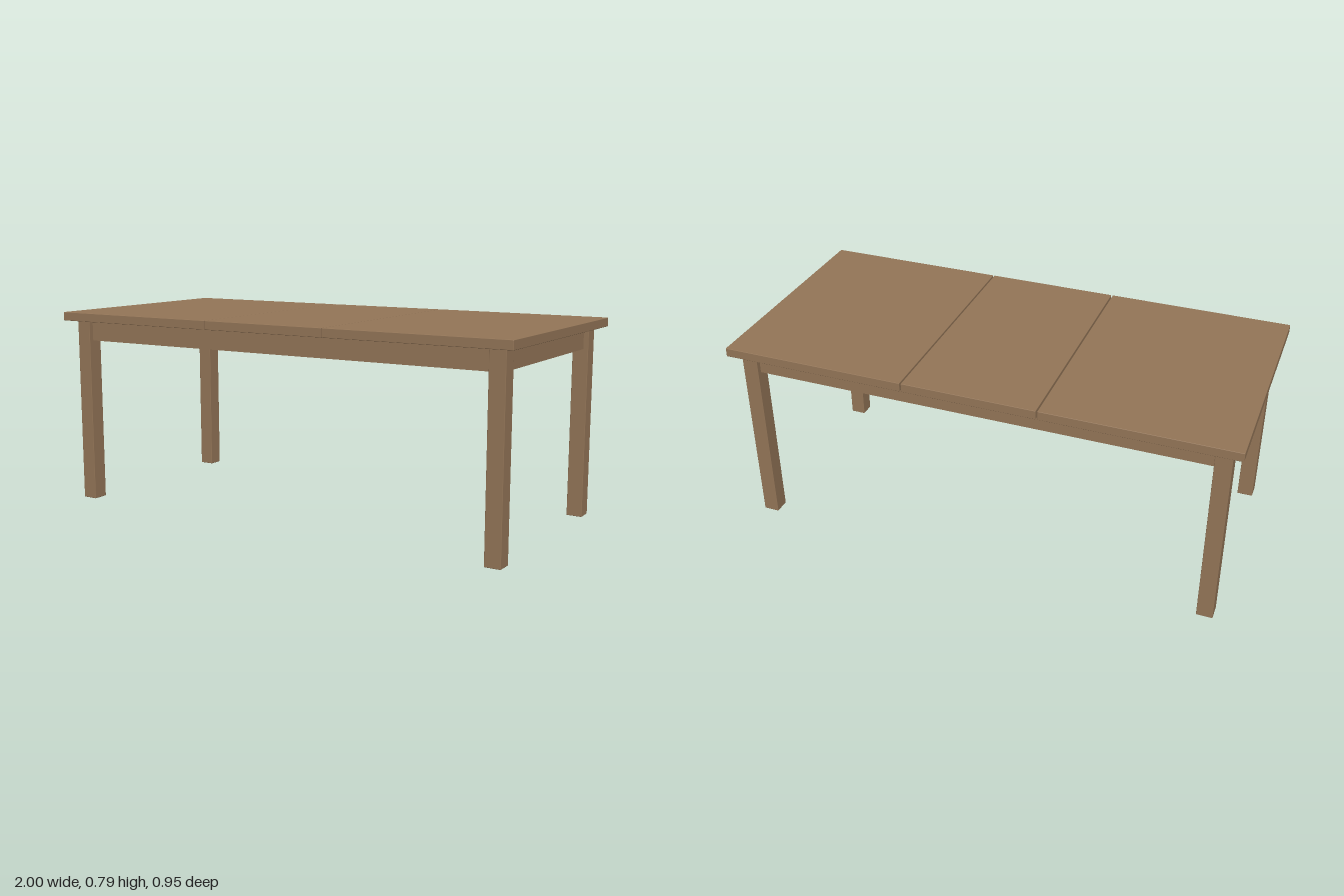
import * as THREE from 'three';
import { RoundedBoxGeometry } from 'three/addons/geometries/RoundedBoxGeometry.js';

export function createModel() {
  const table = new THREE.Group();
  table.name = 'diningTable';
  const wood = new THREE.MeshStandardMaterial({ name: 'brown wood', color: 0x937557 });

  // Box given by its min and max corners, with an optional eased edge
  function block(name, min, max, edge = 0) {
    const s = max.map((v, i) => v - min[i]);
    const geometry = edge
      ? new RoundedBoxGeometry(s[0], s[1], s[2], 2, edge)
      : new THREE.BoxGeometry(...s);
    const mesh = new THREE.Mesh(geometry, wood);
    mesh.name = name;
    mesh.position.set(...max.map((v, i) => (v + min[i]) / 2));
    table.add(mesh);
  }

  const underside = 0.756, topY = 0.791, halfDepth = 0.473;
  const legIn = [0.896, 0.37], legOut = [0.959, 0.433];
  const apronBottom = 0.673, apronHalf = 0.012;
  const apronX = (legIn[0] + legOut[0]) / 2, apronZ = (legIn[1] + legOut[1]) / 2;

  // Three tabletop panels separated by narrow gaps
  const panels = [
    ['rightTopPanel', -1, -0.267],
    ['middleTopPanel', -0.261, 0.261],
    ['leftTopPanel', 0.267, 1],
  ];
  for (const [name, x0, x1] of panels) {
    block(name, [x0, underside, -halfDepth], [x1, topY, halfDepth], 0.002);
  }

  // Four square legs
  for (const sx of [-1, 1]) {
    for (const sz of [-1, 1]) {
      const name = (sz > 0 ? 'front' : 'back') + (sx > 0 ? 'Left' : 'Right') + 'Leg';
      const xs = [sx * legIn[0], sx * legOut[0]].sort((a, b) => a - b);
      const zs = [sz * legIn[1], sz * legOut[1]].sort((a, b) => a - b);
      block(name, [xs[0], 0, zs[0]], [xs[1], underside, zs[1]], 0.002);
    }
  }

  // Apron rails centred on the legs
  for (const s of [-1, 1]) {
    block(s > 0 ? 'frontApron' : 'backApron',
      [-legIn[0], apronBottom, s * apronZ - apronHalf],
      [legIn[0], underside - 0.001, s * apronZ + apronHalf]);
    block(s > 0 ? 'leftApron' : 'rightApron',
      [s * apronX - apronHalf, apronBottom, -legIn[1]],
      [s * apronX + apronHalf, underside - 0.001, legIn[1]]);
  }

  return table;
}
